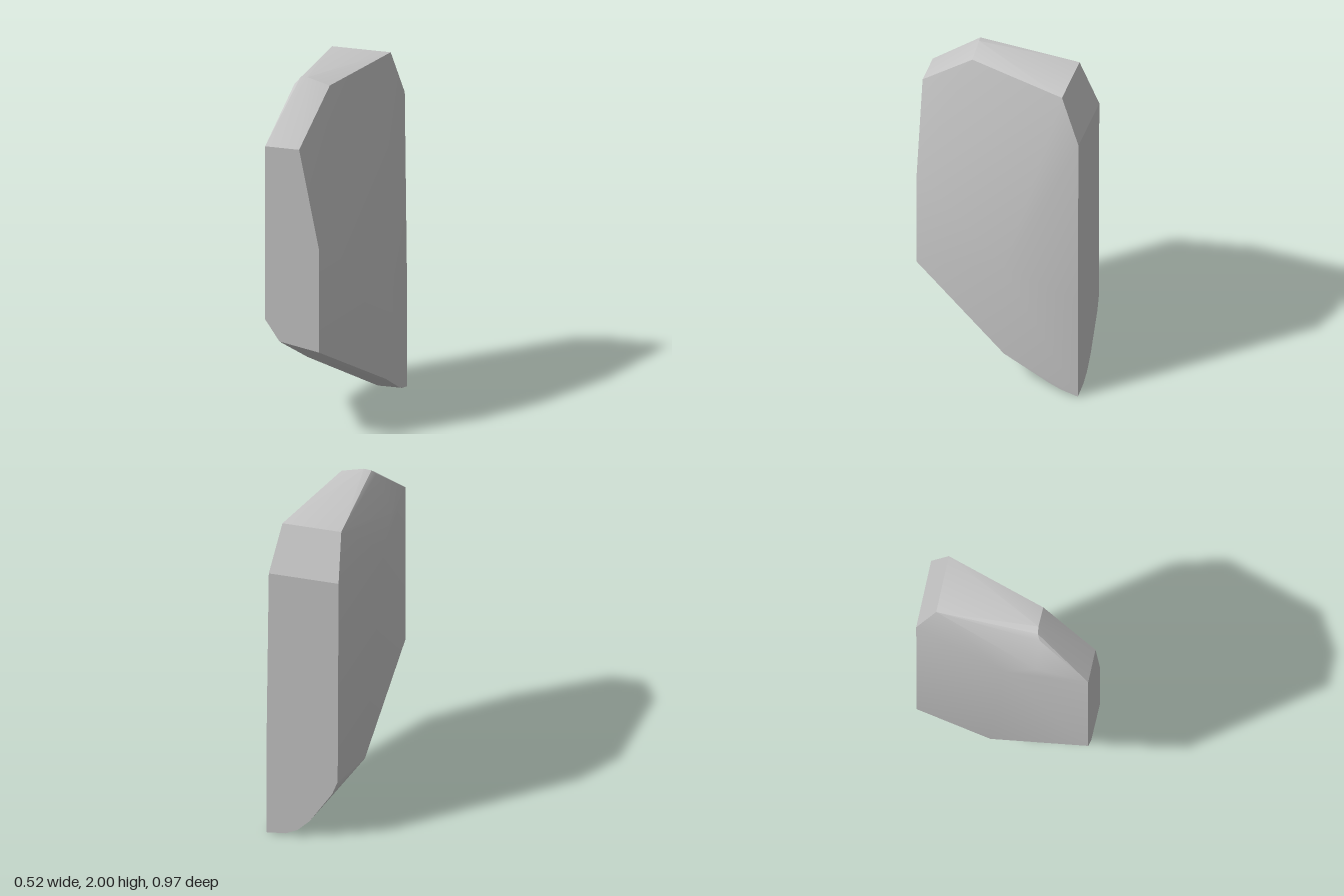
import * as THREE from 'three';
import { ConvexGeometry } from 'three/addons/geometries/ConvexGeometry.js';
import { toCreasedNormals } from 'three/addons/utils/BufferGeometryUtils.js';

const FRONT = 0.485, BACK = -0.485;

// Corners [x, y] of the flat front and back faces
const frontFace = [[-0.26, 1.7], [-0.07, 1.7], [0.04, 1.14], [0.04, 0.54], [-0.18, 0.58], [-0.26, 0.7]];
const backFace = [[0.245, 1.7], [-0.143, 1.7], [-0.138, 0.4], [-0.107, 0.314], [0.017, 0.116],
  [0.085, 0.045], [0.15, 0.012], [0.257, 0], [0.257, 0.65]];

// Bevelled crown, highest towards the front left
const crown = [[-0.175, 1.965, 0.2], [-0.15, 1.993, 0.185], [-0.11, 2, 0.18], [0.015, 1.965, 0.18],
  [-0.13, 1.965, -0.378], [0.197, 1.965, -0.378]];

// Corners along the two long sides
const sides = [[-0.26, 1.6, 0.02], [-0.26, 1.74, 0.2], [-0.18, 0.28, -0.07],
  [0.257, 0.78, -0.07], [0.257, 0.2, -0.07]];

// Rounded rear end of the sloping underside
const underside = [[0.257, 0.06, -0.32], [0.257, 0.027, -0.39], [0.12, 0.022, -0.4], [0.07, 0.062, -0.35]];

export function createModel() {
  const stone = new THREE.MeshStandardMaterial({ color: 0xc6c6c6 });
  stone.name = 'pale stone grey';

  const corners = [
    ...frontFace.map(([x, y]) => [x, y, FRONT]),
    ...backFace.map(([x, y]) => [x, y, BACK]),
    ...crown, ...sides, ...underside,
  ].map((p) => new THREE.Vector3(...p));

  // Sharp main edges, soft shading over the shallow ones
  const rock = new THREE.Mesh(toCreasedNormals(new ConvexGeometry(corners), 0.383), stone);
  rock.name = 'standingRock';

  const group = new THREE.Group();
  group.name = 'rock';
  group.add(rock);
  return group;
}
